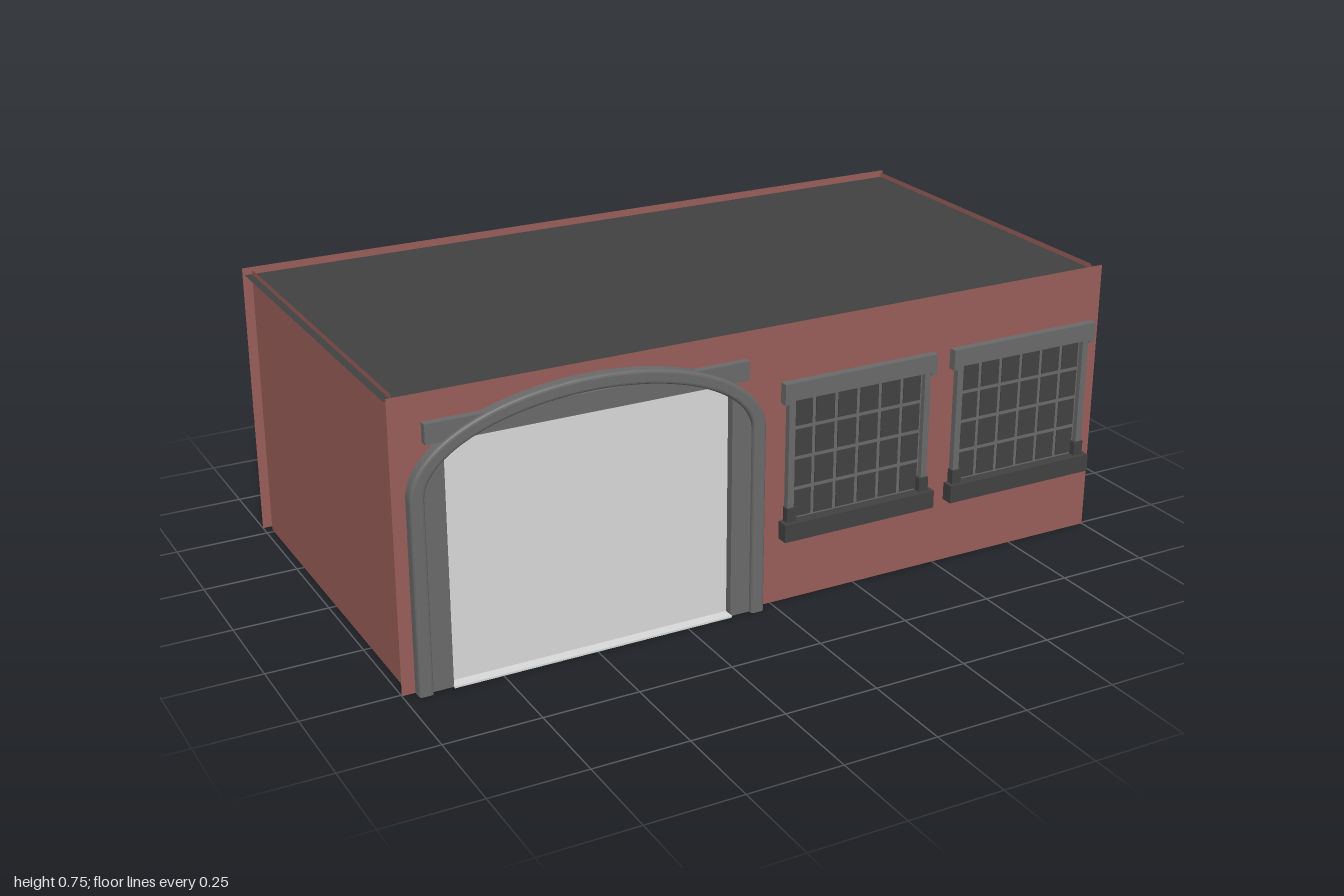
import * as THREE from 'three';

const mat = (name, color, side = THREE.FrontSide) => {
  const m = new THREE.MeshStandardMaterial({ color, side });
  m.name = name;
  return m;
};

export function createModel() {
  const root = new THREE.Group();
  root.name = 'garage';
  const brick = mat('brick red', 0x995e59, THREE.DoubleSide);
  const dark = mat('dark grey', 0x414141, THREE.DoubleSide);
  const grey = mat('frame grey', 0x696969);
  const light = mat('door grey', 0xd8d8d8);

  const add = (parent, name, geo, material, x = 0, y = 0, z = 0) => {
    const m = new THREE.Mesh(geo, material);
    m.name = name;
    m.position.set(x, y, z);
    parent.add(m);
    return m;
  };
  // box given by its lower and upper limits
  const box = (parent, name, material, x0, x1, y0, y1, z0, z1) =>
    add(parent, name, new THREE.BoxGeometry(x1 - x0, y1 - y0, z1 - z0), material,
      (x0 + x1) / 2, (y0 + y1) / 2, (z0 + z1) / 2);
  const polygon = (pts) => new THREE.Shape(pts.map(([x, y]) => new THREE.Vector2(x, y)));

  // front and back walls stand slightly proud of the roof and side walls
  const H = 0.75, FRONT = 0.505, BACK = -0.535, DOOR_X = -0.5;
  const DEPTH = 1, MID_Z = -0.015;
  const windows = [0.247, 0.75];

  // front wall with a door notch and window openings
  const wall = polygon([[-1, 0], [-0.9, 0], [-0.9, 0.65], [-0.1, 0.65],
    [-0.1, 0], [1, 0], [1, H], [-1, H]]);
  for (const x of windows) {
    wall.holes.push(polygon([[x - 0.2, 0.215], [x - 0.2, 0.56], [x + 0.2, 0.56], [x + 0.2, 0.215]]));
  }
  add(root, 'frontWall', new THREE.ShapeGeometry(wall), brick, 0, 0, FRONT);

  const back = add(root, 'backWall', new THREE.PlaneGeometry(2, H), brick, 0, H / 2, BACK);
  back.rotation.y = Math.PI;
  for (const s of [-1, 1]) {
    const side = add(root, s > 0 ? 'leftWall' : 'rightWall',
      new THREE.PlaneGeometry(DEPTH, H), brick, s * 0.98, H / 2, MID_Z);
    side.rotation.y = s * Math.PI / 2;
  }

  // flat roof sheet just below the wall tops
  const roof = add(root, 'roof', new THREE.PlaneGeometry(2, DEPTH), dark, 0, 0.737, MID_Z);
  roof.rotation.x = -Math.PI / 2;

  // garage door
  const door = new THREE.Group();
  door.name = 'garageDoor';
  door.position.x = DOOR_X;
  root.add(door);
  box(door, 'doorPanel', light, -0.39, 0.39, 0.005, 0.645, 0.475, 0.5);
  box(door, 'threshold', light, -0.376, 0.376, 0, 0.005, 0.475, 0.53);

  // inner frame: two jambs with small corner braces
  const jambs = polygon([[-0.435, 0], [-0.375, 0], [-0.375, 0.6], [-0.335, 0.63], [0.335, 0.63],
    [0.375, 0.6], [0.375, 0], [0.435, 0], [0.435, 0.5], [0.41, 0.59], [0.36, 0.645], [-0.36, 0.645],
    [-0.41, 0.59], [-0.435, 0.5]]);
  add(door, 'doorJambs', new THREE.ExtrudeGeometry(jambs, { depth: 0.036, bevelEnabled: false }),
    grey, 0, 0, 0.486);
  box(door, 'doorLintel', grey, -0.42, 0.42, 0.63, 0.68, 0.487, 0.525);

  // rounded arch moulding: straight legs joined by half an ellipse
  const spring = 0.5, arch = new THREE.Shape();
  arch.moveTo(0.458, 0);
  arch.lineTo(0.458, spring);
  arch.absellipse(0, spring, 0.458, 0.214, 0, Math.PI, false, 0);
  arch.lineTo(-0.458, 0);
  arch.lineTo(-0.437, 0);
  arch.lineTo(-0.437, spring);
  arch.absellipse(0, spring, 0.437, 0.193, Math.PI, 0, true, 0);
  arch.lineTo(0.437, 0);
  const archGeo = new THREE.ExtrudeGeometry(arch, {
    depth: 0.032, bevelThickness: 0.009, bevelSize: 0.008, bevelSegments: 3, curveSegments: 28,
  });
  // keep the feet flush with the ground
  const p = archGeo.attributes.position;
  for (let i = 0; i < p.count; i++) if (p.getY(i) < 0) p.setY(i, 0);
  add(door, 'doorArch', archGeo, grey, 0, 0, 0.494);

  // windows
  windows.forEach((x, i) => {
    const w = new THREE.Group();
    w.name = i ? 'outerWindow' : 'innerWindow';
    w.position.x = x;
    root.add(w);
    box(w, 'windowBack', dark, -0.2, 0.2, 0.215, 0.56, 0.497, 0.501);
    box(w, 'glazingBars', grey, -0.198, 0.198, 0.217, 0.558, 0.501, 0.508);
    box(w, 'windowLintel', grey, -0.225, 0.225, 0.553, 0.6, 0.498, 0.527);
    box(w, 'windowSill', dark, -0.225, 0.225, 0.177, 0.225, 0.498, 0.538);
    for (const s of [-1, 1]) {
      const span = (a, b) => (s > 0 ? [a, b] : [-b, -a]);
      box(w, 'sideFrame', grey, ...span(0.192, 0.21), 0.26, 0.553, 0.498, 0.522);
      box(w, 'frameFoot', dark, ...span(0.185, 0.213), 0.225, 0.263, 0.498, 0.526);
      box(w, 'lintelEar', grey, ...span(0.208, 0.225), 0.545, 0.553, 0.498, 0.527);
    }
    // dark panes between the bars
    const cols = [-0.192, -0.13, -0.065, 0, 0.065, 0.13, 0.192];
    const rows = [0.225, 0.307, 0.39, 0.472, 0.553];
    for (let c = 0; c < 6; c++) {
      for (let r = 0; r < 4; r++) {
        box(w, 'pane', dark, cols[c] + 0.005, cols[c + 1] - 0.005,
          rows[r] + 0.005, rows[r + 1] - 0.005, 0.507, 0.51);
      }
    }
  });

  return root;
}
